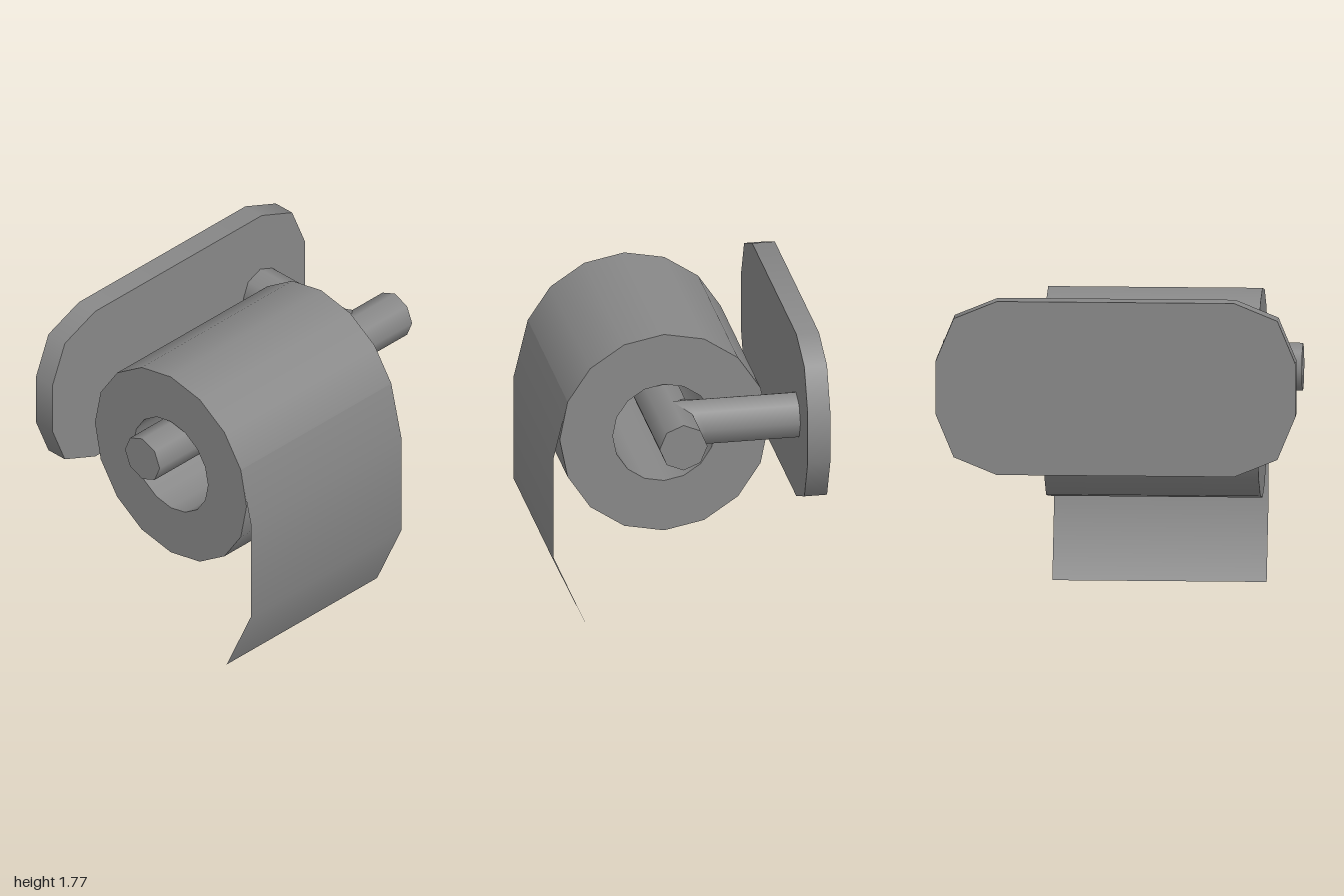
import * as THREE from 'three';
import { mergeGeometries } from 'three/addons/utils/BufferGeometryUtils.js';

const ROD = { x: 0.1, y: 1.285, r: 0.135 };
const ROLL = { x: 0.1, y: 1.137, outer: 0.59, inner: 0.29, back: -0.417, front: 0.775 };
const COLOR = 0x888888;

export function createModel() {
  const group = new THREE.Group();
  const grey = new THREE.MeshStandardMaterial({ color: COLOR });
  const thin = new THREE.MeshStandardMaterial({ color: COLOR, side: THREE.DoubleSide });

  const add = (name, geometry, x, y, z, material = grey) => {
    const mesh = new THREE.Mesh(geometry, material);
    mesh.name = name;
    mesh.position.set(x, y, z);
    group.add(mesh);
  };

  // Wall plate: a 12-sided disc pulled out to a long slab with two-step corners
  const pull = (v, [low, mid, high]) => {
    const a = Math.abs(v);
    return Math.sign(v) * (a < 0.01 ? 0 : a < 0.5 ? low : a < 0.9 ? mid : high);
  };
  const plate = new THREE.CylinderGeometry(1, 1, 0.128, 12, 1, false, Math.PI / 12);
  plate.rotateZ(Math.PI / 2);
  const c = plate.attributes.position;
  for (let i = 0; i < c.count; i++) {
    c.setY(i, pull(c.getY(i), [0.15, 0.39, 0.488]));
    c.setZ(i, pull(c.getZ(i), [0.66, 0.9, 1]));
  }
  add('wallPlate', plate, -0.665, 1.287, 0);

  // Rod that carries the roll
  const rod = new THREE.CylinderGeometry(ROD.r, ROD.r, 2, 8);
  rod.rotateX(Math.PI / 2);
  add('rod', rod, ROD.x, ROD.y, 0);

  // Arm from the plate to the rod, with a small flare fitted round the rod
  const arm = new THREE.CylinderGeometry(ROD.r, ROD.r, 1, 8, 2, true);
  arm.rotateZ(-Math.PI / 2);
  const p = arm.attributes.position;
  for (let i = 0; i < p.count; i++) {
    const t = p.getX(i), y = p.getY(i);
    const saddle = ROD.x - Math.sqrt(Math.max(0, ROD.r ** 2 - y ** 2));
    if (t < -0.25) p.setX(i, -0.601);
    else if (t < 0.25) p.setX(i, saddle - 0.033);
    else {
      p.setX(i, saddle);
      p.setZ(i, p.getZ(i) * 1.2);
    }
  }
  add('arm', arm, 0, ROD.y, -0.648);

  // Paper roll: outer wall, core wall and two end rings, each turned from one edge
  const { inner, outer, back, front } = ROLL;
  const section = [[inner, back], [outer, back], [outer, front], [inner, front], [inner, back]]
    .map(([r, z]) => new THREE.Vector2(r, z));
  const walls = [0, 1, 2, 3].map((i) => new THREE.LatheGeometry(section.slice(i, i + 2), 16));
  const roll = mergeGeometries(walls);
  roll.rotateX(Math.PI / 2);
  add('paperRoll', roll, ROLL.x, ROLL.y, 0);

  // Loose sheet hanging from the roll, curling in at the bottom
  const path = [[0.645, 1.363], [0.725, 1.03], [0.725, 0.413], [0.535, 0]];
  const last = path.length - 1;
  const sheet = new THREE.PlaneGeometry(1, 1, 1, last);
  const { position, normal } = sheet.attributes;
  for (let i = 0; i < position.count; i++) {
    const row = Math.floor(i / 2);
    const [x, y] = path[row];
    const [x0, y0] = path[Math.max(0, row - 1)];
    const [x1, y1] = path[Math.min(last, row + 1)];
    const length = Math.hypot(x1 - x0, y1 - y0);
    position.setXYZ(i, x, y, i % 2 ? back : front);
    normal.setXYZ(i, (y0 - y1) / length, (x1 - x0) / length, 0);
  }
  add('looseSheet', sheet, 0, 0, 0, thin);

  return group;
}
